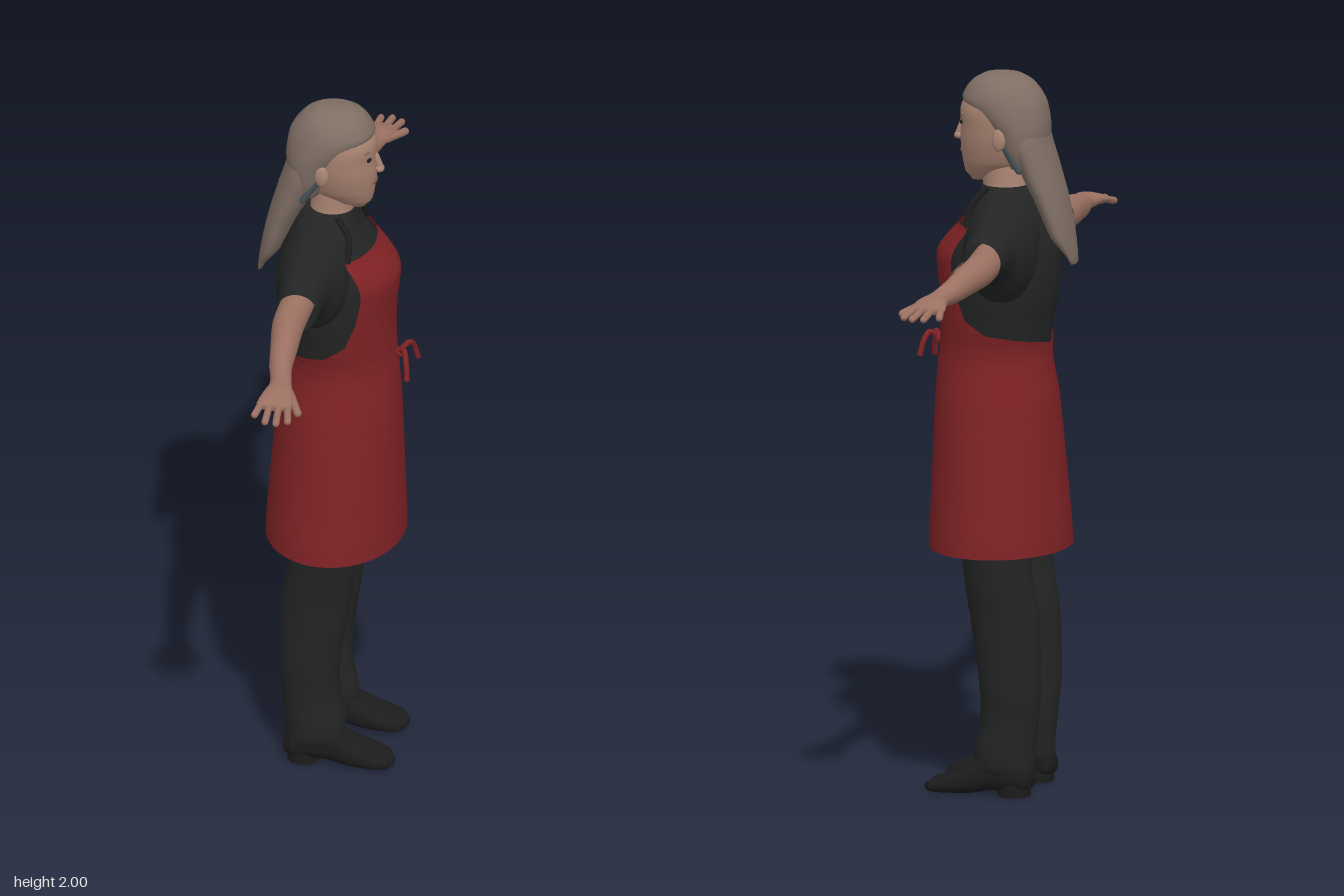
import * as THREE from 'three';
import { mergeVertices } from 'three/addons/utils/BufferGeometryUtils.js';

const paint = (color, side = THREE.FrontSide) => new THREE.MeshStandardMaterial({ color, side });
const named = (name, m) => { m.name = name; return m; };

// Smooth interpolation of one number through four neighbouring rows
const spline = (a, b, c, d, t) =>
  b + 0.5 * t * (c - a + t * (2 * a - 5 * b + 4 * c - d + t * (3 * (b - c) + d - a)));

// Skin of ellipses along an axis. Row: [t, a0, a1, b0, b1, halfAngle]
// axis y: a = x, b = z;  axis z: a = x, b = y;  axis x: a = y, b = z
function loft(axis, rows, { cap = true, power = 2, sides = 32, steps = 5 } = {}) {
  const full = rows.map(r => (r.length < 6 ? [...r, Math.PI] : r));
  const rings = [];
  full.forEach((r, i) => {
    if (i === full.length - 1) return rings.push(r);
    const next = full[i + 1], before = full[Math.max(i - 1, 0)], after = full[Math.min(i + 2, full.length - 1)];
    for (let s = 0; s < steps; s++) {
      rings.push(r.map((v, k) => k === 0 || k === 5
        ? v + (next[k] - v) * s / steps
        : spline(before[k], v, next[k], after[k], s / steps)));
    }
  });
  const place = (t, a, b) => axis === 'y' ? [a, t, b] : axis === 'z' ? [a, b, t] : [t, a, b];
  const bend = v => Math.sign(v) * Math.pow(Math.abs(v), 2 / power);
  const pos = [], idx = [], w = sides + 1;
  const tri = (a, b, c) => axis === 'y' ? idx.push(a, b, c) : idx.push(a, c, b);
  rings.forEach(([t, a0, a1, b0, b1, h], i) => {
    for (let j = 0; j <= sides; j++) {
      const q = h * (2 * j / sides - 1);
      pos.push(...place(t, (a0 + a1) / 2 + (a1 - a0) / 2 * bend(Math.cos(q)),
        (b0 + b1) / 2 + (b1 - b0) / 2 * bend(Math.sin(q))));
      if (i && j) {
        const p = i * w + j;
        tri(p - w - 1, p - 1, p - w);
        tri(p - w, p - 1, p);
      }
    }
  });
  if (cap) {
    const n = rings.length * w;
    for (const r of [rings[0], rings[rings.length - 1]]) pos.push(...place(r[0], (r[1] + r[2]) / 2, (r[3] + r[4]) / 2));
    for (let j = 0; j < sides; j++) {
      tri(n, j, j + 1);
      tri(n + 1, n - w + j + 1, n - w + j);
    }
  }
  let g = new THREE.BufferGeometry();
  g.setAttribute('position', new THREE.Float32BufferAttribute(pos, 3));
  g.setIndex(idx);
  g = mergeVertices(g, 1e-5);
  g.computeVertexNormals();
  return g;
}

// Rows symmetric about z = 0: [y, xBack, xFront, halfWidth, halfAngle]
const body = (rows, opt) => loft('y', rows.map(([y, a, b, w, ...h]) => [y, a, b, -w, w, ...h]), opt);

// Copy reflected across z = 0, with its faces turned back outward
function mirrored(g) {
  const m = g.clone().scale(1, 1, -1), ix = m.index.array;
  for (let i = 0; i < ix.length; i += 3) [ix[i], ix[i + 1]] = [ix[i + 1], ix[i]];
  m.computeVertexNormals();
  return m;
}

const ball = (r, s, p) => new THREE.SphereGeometry(r, 16, 12).scale(...s).translate(...p);

// Rounded rod between two points
function rod(from, to, r) {
  const a = new THREE.Vector3(...from), b = new THREE.Vector3(...to), d = b.clone().sub(a);
  const turn = new THREE.Quaternion().setFromUnitVectors(new THREE.Vector3(0, 1, 0), d.clone().normalize());
  const mid = a.add(b).multiplyScalar(0.5);
  return new THREE.CapsuleGeometry(r, d.length(), 4, 10).applyQuaternion(turn).translate(mid.x, mid.y, mid.z);
}

const cord = (pts, r) => new THREE.TubeGeometry(
  new THREE.CatmullRomCurve3(pts.map(p => new THREE.Vector3(...p))), 16, r, 8);

export function createModel() {
  const model = new THREE.Group();
  model.name = 'apronWorker';
  const hair = named('hairBrown', paint(0x7f6e64));
  const face = named('faceSkin', paint(0xa98472));
  const skin = named('armSkin', paint(0x9c7162));
  const mark = named('darkSkin', paint(0x76564b));
  const cloth = named('blackCloth', paint(0x232424, THREE.DoubleSide));
  const leather = named('blackLeather', paint(0x1c1c1c));
  const red = named('apronRed', paint(0x7f2225, THREE.DoubleSide));
  const grey = named('greyLining', paint(0x777777));
  const band = named('hairTieBlue', paint(0x424e55));
  const add = (name, g, m) => model.add(named(name, new THREE.Mesh(g, m)));
  // The figure faces +x, so its own right is +z
  const pair = (name, g, m) => { add(name + 'Right', g, m); add(name + 'Left', mirrored(g), m); };

  // Head and neck
  add('head', body([
    [1.695, 0.03, 0.075, 0.02], [1.715, -0.03, 0.092, 0.045], [1.75, -0.08, 0.1, 0.07],
    [1.8, -0.1, 0.105, 0.088], [1.85, -0.11, 0.104, 0.097], [1.9, -0.11, 0.104, 0.099],
    [1.95, -0.1, 0.078, 0.085], [1.97, -0.07, 0.05, 0.06]]), face);
  add('neck', body([[1.62, -0.09, 0.05, 0.075], [1.68, -0.08, 0.042, 0.058], [1.77, -0.07, 0.05, 0.055]]), face);
  add('nose', rod([0.102, 1.85, 0], [0.114, 1.818, 0], 0.01), face);
  add('noseTip', ball(0.015, [0.9, 0.75, 1.1], [0.113, 1.813, 0]), face);
  add('lips', ball(0.02, [0.35, 0.38, 1.15], [0.1, 1.775, 0]), mark);
  pair('eye', ball(0.017, [0.4, 0.38, 1], [0.091, 1.86, 0.04]), leather);
  pair('brow', rod([0.098, 1.884, 0.022], [0.085, 1.886, 0.058], 0.004), hair);
  pair('ear', ball(0.026, [0.75, 1.2, 0.4], [-0.03, 1.825, 0.1]), face);

  // Swept-back hair and long tail
  add('hairCap', body([
    [1.74, -0.13, -0.04, 0.085], [1.79, -0.14, -0.01, 0.099], [1.84, -0.145, 0.015, 0.106],
    [1.88, -0.143, 0.06, 0.108], [1.92, -0.135, 0.098, 0.104], [1.95, -0.118, 0.09, 0.093],
    [1.975, -0.096, 0.07, 0.075], [1.993, -0.065, 0.038, 0.045], [2, -0.025, 0, 0.012]]), hair);
  add('ponytail', body([
    [1.475, -0.224, -0.21, 0.03], [1.55, -0.215, -0.155, 0.07], [1.65, -0.195, -0.11, 0.088],
    [1.75, -0.167, -0.06, 0.097], [1.83, -0.143, -0.03, 0.097], [1.89, -0.13, -0.05, 0.06]]), hair);
  pair('hairTie', rod([-0.045, 1.8, 0.088], [-0.085, 1.74, 0.09], 0.009), band);

  // Short-sleeved shirt
  add('shirt', body([
    [1.22, -0.14, 0.135, 0.15], [1.3, -0.15, 0.135, 0.16], [1.4, -0.168, 0.14, 0.175],
    [1.5, -0.17, 0.145, 0.175], [1.56, -0.158, 0.11, 0.17], [1.61, -0.138, 0.072, 0.158],
    [1.655, -0.118, 0.052, 0.115], [1.685, -0.105, 0.045, 0.075]]), cloth);
  pair('sleeve', loft('z', [
    [0.07, -0.14, 0.05, 1.45, 1.672], [0.13, -0.148, 0.058, 1.38, 1.665], [0.19, -0.14, 0.045, 1.4, 1.65],
    [0.24, -0.122, 0.02, 1.455, 1.632], [0.3, -0.115, 0.008, 1.468, 1.61],
    [0.345, -0.11, 0.005, 1.478, 1.588]], { cap: false }), cloth);

  // Apron: closed skirt narrowing to a front bib
  add('apron', body([
    [0.68, -0.2, 0.185, 0.245], [0.8, -0.192, 0.182, 0.228], [1, -0.176, 0.176, 0.2],
    [1.1, -0.166, 0.172, 0.183], [1.2, -0.15, 0.165, 0.163], [1.25, -0.149, 0.16, 0.162],
    [1.29, -0.16, 0.158, 0.17, 1.65], [1.33, -0.165, 0.157, 0.176, 1.25], [1.4, -0.178, 0.16, 0.184, 1.05],
    [1.46, -0.18, 0.167, 0.186, 1], [1.5, -0.178, 0.167, 0.186, 1], [1.54, -0.17, 0.142, 0.182, 1],
    [1.585, -0.155, 0.103, 0.174, 1.02]], { cap: false, sides: 48 }), red);
  pair('neckStrap', cord([[0.048, 1.58, 0.138], [0.046, 1.64, 0.105], [0.01, 1.685, 0.075]], 0.009), leather);
  add('bowKnot', ball(0.014, [1, 1, 1.2], [0.168, 1.24, 0]), red);
  add('bowEndRight', cord([[0.166, 1.24, 0], [0.185, 1.258, 0.022], [0.195, 1.225, 0.045], [0.2, 1.185, 0.06]], 0.008), red);
  add('bowEndLeft', cord([[0.166, 1.24, 0], [0.19, 1.262, -0.02], [0.2, 1.245, -0.04], [0.21, 1.2, -0.052]], 0.008), red);

  // Arms with palms, fingers and thumbs
  pair('arm', loft('z', [
    [0.28, -0.105, -0.015, 1.485, 1.58], [0.4, -0.11, -0.022, 1.478, 1.568], [0.5, -0.097, -0.02, 1.474, 1.556],
    [0.6, -0.082, -0.018, 1.471, 1.538], [0.68, -0.065, -0.004, 1.472, 1.52], [0.74, -0.075, 0.012, 1.475, 1.515],
    [0.785, -0.083, 0.016, 1.473, 1.503], [0.798, -0.075, 0.008, 1.478, 1.495]]), skin);
  [[0.004, 0.015, 0.845], [-0.021, -0.014, 0.862], [-0.046, -0.045, 0.858], [-0.07, -0.08, 0.825]].forEach(
    ([x0, x1, z], i) => pair('finger' + (i + 1), rod([x0, 1.488, 0.78], [x1, 1.476, z], 0.01), skin));
  pair('thumb', rod([-0.002, 1.492, 0.715], [0.034, 1.476, 0.795], 0.011), skin);
  add('armMarkLeft', mirrored(loft('z', [
    [0.47, -0.105, -0.017, 1.472, 1.565, 1.2], [0.56, -0.093, -0.015, 1.468, 1.551, 1.2]], { cap: false })), mark);

  // Trousers, with lining above them inside the skirt
  pair('trouserLeg', loft('y', [
    [0.05, -0.125, 0.02, 0.05, 0.155], [0.08, -0.13, 0.034, 0.03, 0.168], [0.13, -0.132, 0.036, 0.018, 0.172],
    [0.2, -0.14, 0.022, 0.018, 0.168], [0.3, -0.148, 0.022, 0.022, 0.176], [0.5, -0.143, 0.05, 0.01, 0.18],
    [0.6, -0.125, 0.064, 0.01, 0.19], [0.75, -0.115, 0.075, 0.008, 0.2]]), cloth);
  pair('liningLeg', loft('y', [
    [0.74, -0.112, 0.072, 0.006, 0.195], [0.9, -0.13, 0.1, 0, 0.185], [1.1, -0.13, 0.11, 0, 0.15]]), grey);

  // Heeled shoes
  pair('shoe', loft('x', [
    [-0.128, 0.025, 0.07, 0.075, 0.14], [-0.105, 0.015, 0.1, 0.06, 0.155], [-0.01, 0.012, 0.12, 0.055, 0.158],
    [0.045, 0.002, 0.085, 0.05, 0.163], [0.11, 0, 0.056, 0.048, 0.165], [0.155, 0.001, 0.038, 0.062, 0.155],
    [0.172, 0.008, 0.024, 0.09, 0.13]], { power: 2.6 }), leather);
  pair('heel', new THREE.CylinderGeometry(0.046, 0.045, 0.035, 20).translate(-0.078, 0.0175, 0.107), leather);

  return model;
}
